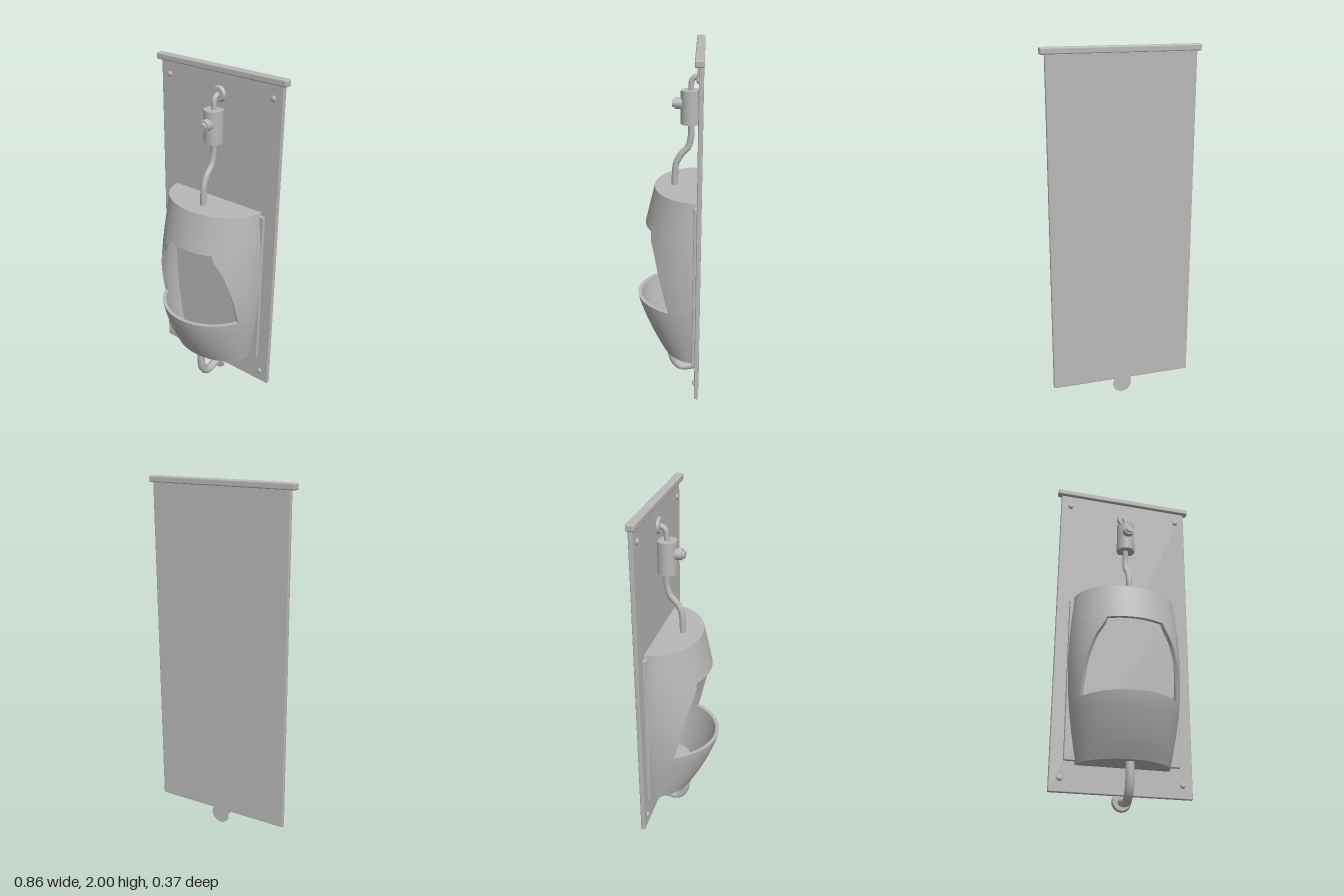
import * as THREE from 'three';
import { RoundedBoxGeometry } from 'three/addons/geometries/RoundedBoxGeometry.js';

const BACK = -0.157; // plane where the bowl meets the wall panel

// half width, height, front depth of the bowl from bottom to top
const profile = new THREE.CatmullRomCurve3([
  [0.268, 0.235, 0.045], [0.285, 0.33, 0.097], [0.304, 0.45, 0.15], [0.318, 0.57, 0.188],
  [0.329, 0.75, 0.188], [0.329, 0.9, 0.165], [0.325, 1.02, 0.138], [0.305, 1.24, 0.085],
].map((p) => new THREE.Vector3(...p)));
const RIM = 3 / 7, LIP = 6 / 7;

// half width of the front opening by height
const opening = new THREE.SplineCurve([
  [0.285, 0.57], [0.27, 0.75], [0.228, 0.9], [0.165, 1.02],
].map((p) => new THREE.Vector2(...p)));

// point on the half-elliptical wall, moved inward by inset
function wallPoint(angle, v, inset) {
  const p = profile.getPoint(v);
  return new THREE.Vector3((p.x - inset) * Math.cos(angle), p.y,
    BACK + (p.z - BACK - inset) * Math.sin(angle));
}

// smooth grid surface from fn(u, v)
function surface(fn, nu, nv) {
  const pos = [], index = [];
  for (let j = 0; j <= nv; j++) {
    for (let i = 0; i <= nu; i++) pos.push(...fn(i / nu, j / nv).toArray());
  }
  for (let j = 0; j < nv; j++) {
    for (let i = 0; i < nu; i++) {
      const a = j * (nu + 1) + i, b = a + nu + 1;
      index.push(a, b, a + 1, a + 1, b, b + 1);
    }
  }
  const g = new THREE.BufferGeometry();
  g.setAttribute('position', new THREE.Float32BufferAttribute(pos, 3));
  g.setIndex(index);
  g.computeVertexNormals();
  return g;
}

export function createModel() {
  const model = new THREE.Group();
  model.name = 'wallUrinal';
  const grey = new THREE.MeshStandardMaterial({ color: 0xb8b8b8, side: THREE.DoubleSide });
  grey.name = 'grey';

  function add(name, geometry, x = 0, y = 0, z = 0, parent = model) {
    const mesh = new THREE.Mesh(geometry, grey);
    mesh.name = name;
    mesh.position.set(x, y, z);
    parent.add(mesh);
    return mesh;
  }
  const box = (name, w, h, d, y, z, r) => add(name, new RoundedBoxGeometry(w, h, d, 2, r), 0, y, z);
  // disc or cylinder facing forward
  function knob(name, r1, r2, depth, x, y, z, sides = 24) {
    const g = new THREE.CylinderGeometry(r1, r2, depth, sides);
    g.rotateX(Math.PI / 2);
    return add(name, g, x, y, z);
  }
  function pipe(name, points, radius) {
    const curve = new THREE.CatmullRomCurve3(points.map(([y, z]) => new THREE.Vector3(0, y, z)));
    add(name, new THREE.TubeGeometry(curve, 40, radius, 12), 0, 0, 0);
  }

  // wall panel, top rail and mounting plate
  box('wallPanel', 0.815, 1.885, 0.024, 1.0275, -0.168, 0.006);
  box('topRail', 0.862, 0.036, 0.047, 1.982, -0.1595, 0.008);
  box('mountingPlate', 0.665, 0.965, 0.022, 0.7375, -0.15, 0.005);
  for (const x of [-0.348, 0.348]) {
    for (const y of [0.16, 1.89]) {
      const screw = add('screw', new THREE.SphereGeometry(0.016, 14, 10), x, y, -0.155);
      screw.scale.z = 0.7;
    }
  }

  // hollow bowl: thick wall sections around the opening
  const bowl = new THREE.Group();
  bowl.name = 'bowl';
  model.add(bowl);
  const T = 0.022;
  function wallSection(name, v0, v1, a0, a1, nu, nv) {
    const section = new THREE.Group();
    section.name = name;
    bowl.add(section);
    const at = (u, t, inset) => {
      const v = v0 + (v1 - v0) * t, s = a0(v), e = a1(v);
      return wallPoint(s + (e - s) * u, v, inset);
    };
    add(name + 'Outside', surface((u, t) => at(u, t, 0), nu, nv), 0, 0, 0, section);
    add(name + 'Inside', surface((u, t) => at(1 - u, t, T), nu, nv), 0, 0, 0, section);
    for (const k of [0, 1]) {
      add(name + 'Rim', surface((u, t) => at(u, k, t * T), nu, 1), 0, 0, 0, section);
      add(name + 'Edge', surface((u, t) => at(k, t, u * T), 1, nv), 0, 0, 0, section);
    }
  }
  const right = () => 0, left = () => Math.PI;
  const openAngle = (v) => {
    const p = profile.getPoint(v);
    return Math.acos(opening.getPoint((v - RIM) / (LIP - RIM)).x / p.x);
  };
  wallSection('lowerBasin', 0, RIM, right, left, 28, 12);
  wallSection('upperHood', LIP, 1, right, left, 28, 5);
  wallSection('sideWall', RIM, LIP, right, openAngle, 10, 14);
  wallSection('sideWall', RIM, LIP, (v) => Math.PI - openAngle(v), left, 10, 14);

  // flat top and bottom of the bowl
  const cap = (name, v, inset, dy) => add(name, surface((u, t) => {
    const p = wallPoint(Math.PI * u, v, inset);
    return new THREE.Vector3(p.x * t, p.y + dy, BACK + (p.z - BACK) * t);
  }, 28, 1), 0, 0, 0, bowl);
  cap('bowlTop', 1, 0, 0);
  cap('bowlBottom', 0, 0, 0);
  cap('basinFloor', 0, T, 0.025);

  // water supply and flush valve
  knob('supplyFlange', 0.038, 0.047, 0.014, 0, 1.847, -0.15);
  pipe('supplyPipe', [[1.845, -0.16], [1.842, -0.135], [1.825, -0.117], [1.79, -0.113], [1.75, -0.113]], 0.015);
  add('flushValve', new THREE.CylinderGeometry(0.055, 0.055, 0.182, 32), 0, 1.68, -0.112);
  knob('valveCollar', 0.031, 0.033, 0.04, 0, 1.7, -0.046, 12);
  knob('valveButton', 0.02, 0.022, 0.02, 0, 1.7, -0.022, 12);
  pipe('flushPipe', [[1.6, -0.113], [1.52, -0.115], [1.46, -0.1], [1.41, -0.058], [1.36, -0.034], [1.3, -0.028], [1.23, -0.027]], 0.018);

  // drain below the bowl
  pipe('drainPipe', [[0.25, -0.012], [0.14, -0.012], [0.08, -0.028], [0.042, -0.065], [0.04, -0.1], [0.055, -0.17]], 0.025);
  knob('drainFlange', 0.048, 0.056, 0.014, 0, 0.056, -0.175);

  return model;
}
